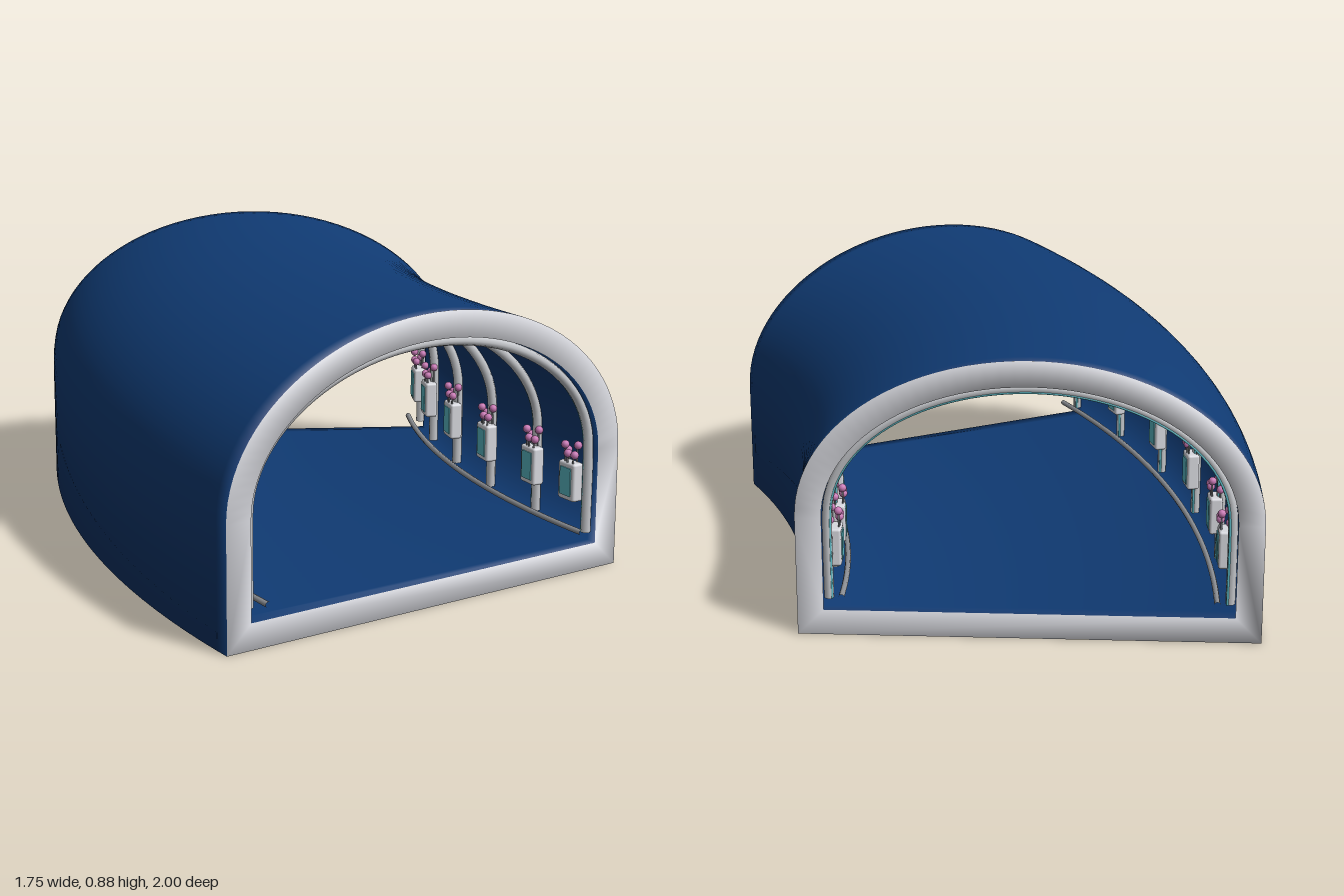
import * as THREE from 'three';
import { RoundedBoxGeometry } from 'three/addons/geometries/RoundedBoxGeometry.js';

const mat = (name, color) => {
  const m = new THREE.MeshStandardMaterial({ color });
  m.name = name;
  return m;
};

// The tunnel bends 30 degrees round a vertical axis at (CX, 1).
const R = 3.3, CX = 3.125, BEND = Math.PI / 6;
const place = (u, y, t) => new THREE.Vector3(
  CX - (R - u) * Math.cos(t * BEND), y, 1 - (R - u) * Math.sin(t * BEND));

// Arch outline: straight walls under a half ellipse, from left foot to right foot.
function arch(halfWidth, base, spring, top, steps) {
  const pts = [[-halfWidth, base]];
  for (let i = 0; i <= steps; i++) {
    const a = Math.PI * (1 - i / steps);
    pts.push([halfWidth * Math.cos(a), spring + (top - spring) * Math.sin(a)]);
  }
  pts.push([halfWidth, base]);
  return pts;
}

// Hollow shell with outer skin, inner skin and two end rims sharing smooth normals.
function shellGeometry() {
  const outer = arch(0.7, 0, 0.375, 0.875, 48);
  const inner = arch(0.62, 0.08, 0.375, 0.795, 48);
  const n = outer.length, rings = 40, pos = [], skin = [], rim = [];
  for (let i = 0; i <= rings; i++)
    for (const [u, y] of [...outer, ...inner]) pos.push(...place(u, y, i / rings).toArray());
  const quad = (list, a, b, d, c) => list.push(a, b, d, a, d, c);
  const id = (i, j, layer) => i * 2 * n + layer * n + (j % n);
  for (let j = 0; j < n; j++) {
    for (let i = 0; i < rings; i++) {
      quad(skin, id(i, j, 0), id(i, j + 1, 0), id(i + 1, j + 1, 0), id(i + 1, j, 0));
      quad(skin, id(i, j, 1), id(i + 1, j, 1), id(i + 1, j + 1, 1), id(i, j + 1, 1));
    }
    quad(rim, id(0, j, 0), id(0, j, 1), id(0, j + 1, 1), id(0, j + 1, 0));
    quad(rim, id(rings, j, 0), id(rings, j + 1, 0), id(rings, j + 1, 1), id(rings, j, 1));
  }
  const g = new THREE.BufferGeometry();
  g.setAttribute('position', new THREE.Float32BufferAttribute(pos, 3));
  g.setIndex([...skin, ...rim]);
  g.addGroup(0, skin.length, 0);
  g.addGroup(skin.length, rim.length, 1);
  g.computeVertexNormals();
  return g;
}

export function createModel() {
  const blue = mat('shell blue', 0x103b74);
  const white = mat('rim white', 0xd9dae0);
  const grey = mat('rib grey', 0xc4c6ca);
  const steel = mat('rail steel', 0x8e9196);
  const teal = mat('screen teal', 0x5cbcc8);
  const pink = mat('blossom pink', 0xc878b4);

  const model = new THREE.Group();
  model.name = 'curvedTunnel';
  const add = (parent, name, geometry, material, x = 0, y = 0, z = 0) => {
    const m = new THREE.Mesh(geometry, material);
    m.name = name;
    m.position.set(x, y, z);
    parent.add(m);
    return m;
  };
  const tube = (name, pts, radius, material, segments) => add(model, name,
    new THREE.TubeGeometry(new THREE.CatmullRomCurve3(pts), segments, radius, 8), material);

  add(model, 'shell', shellGeometry(), [blue, white]);

  // Ribs, each with a slim light strip on its far side
  for (const t of [0.02, 0.2, 0.4, 0.6, 0.8, 0.98]) {
    const path = (w, top, dt) => arch(w, 0.11, 0.375, top, 24).map(([u, y]) => place(u, y, t + dt));
    tube('rib', path(0.605, 0.78, 0), 0.015, grey, 72);
    tube('lightStrip', path(0.596, 0.771, 0.0055), 0.004, teal, 72);
  }

  const panelGeo = new RoundedBoxGeometry(0.04, 0.12, 0.076, 2, 0.008);
  const screenGeo = new THREE.BoxGeometry(0.006, 0.088, 0.05);
  const blossomGeo = new THREE.SphereGeometry(0.013, 12, 8);
  const stemGeo = new THREE.CylinderGeometry(0.003, 0.003, 0.06, 6);
  // Blossom offsets: inward from the wall, height, along the wall
  const blossoms = [[-0.012, 0.35, -0.03], [0.012, 0.35, 0.03], [0.012, 0.374, -0.016],
    [-0.012, 0.374, 0.016], [0.014, 0.35, 0]];

  for (const side of [-1, 1]) {
    // Low rail along the wall
    const pts = Array.from({ length: 13 }, (_, i) => place(side * 0.565, 0.122, i / 12));
    tube('rail', pts, 0.009, steel, 48);

    // Wall panels with a screen and blossoms on top
    for (const t of [0.06, 0.2, 0.4, 0.6, 0.8, 0.94]) {
      const station = new THREE.Group();
      station.name = 'wallPanel';
      station.position.copy(place(side * 0.588, 0, t));
      station.rotation.y = -t * BEND;
      model.add(station);
      add(station, 'panelFrame', panelGeo, white, 0, 0.262, 0);
      add(station, 'screen', screenGeo, teal, -side * 0.02, 0.262, 0);
      for (const [dx, y, dz] of blossoms) {
        add(station, 'blossom', blossomGeo, pink, -side * dx, y, dz);
        add(station, 'stem', stemGeo, steel, -side * dx, y - 0.03, dz * 0.8);
      }
    }
  }
  return model;
}
